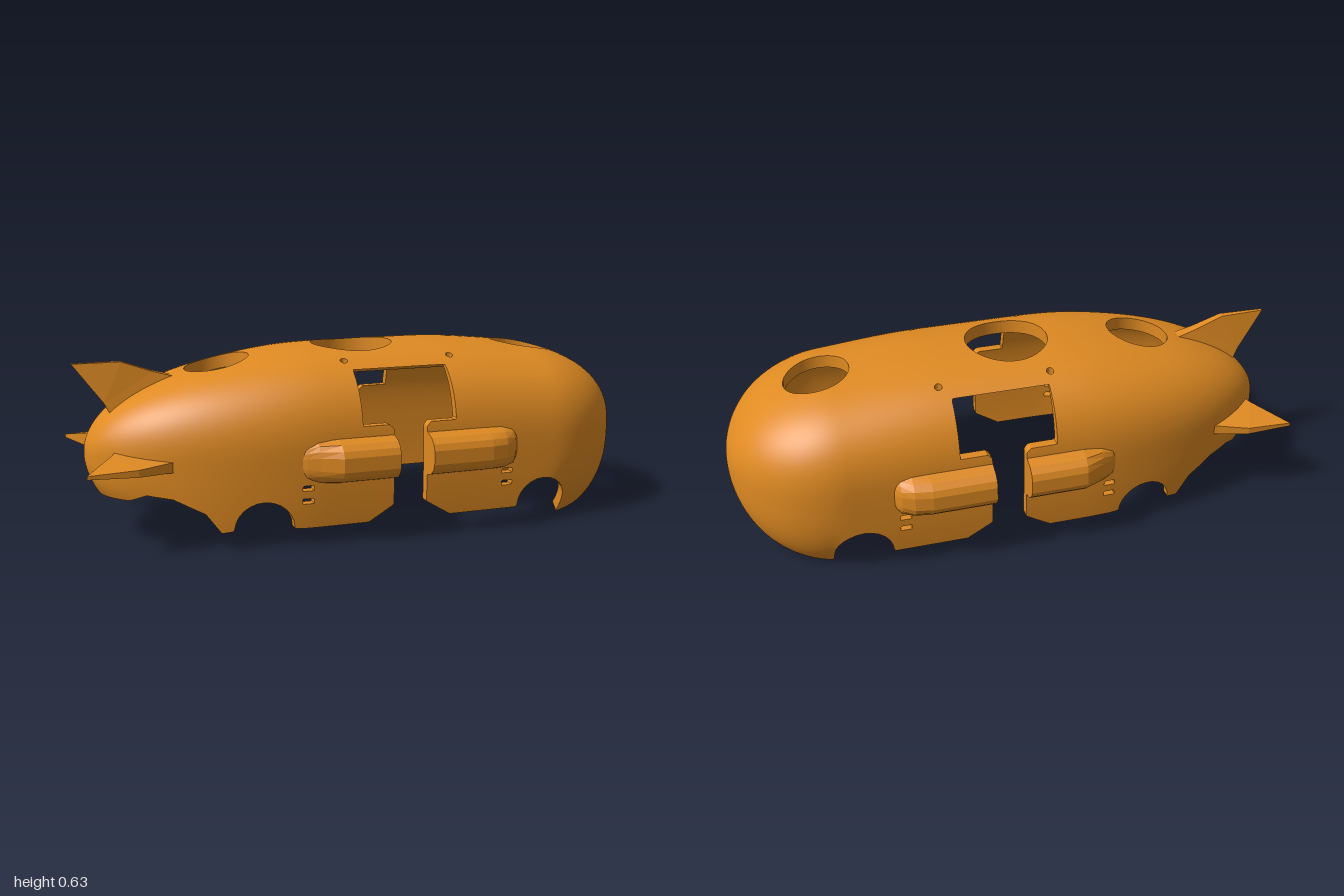
import * as THREE from 'three';

const orange = new THREE.MeshStandardMaterial({ color: 0xdf8a22 });
orange.name = 'orange';

const AXIS = 0.29; // height of the hull axis
const { abs, sin, cos, sqrt, hypot, max, min, sign, PI } = Math;
const mix = THREE.MathUtils.lerp;
const step = THREE.MathUtils.smoothstep;

// Hull cross-section: rounded superellipse, straight-sided low in the middle
function hullPoint(x, a) {
  const e = x > 0.63 ? (x - 0.63) / 0.37 : x < -0.2 ? (x + 0.2) / 0.77 : 0;
  const s = sqrt(max(0, 1 - e * e));
  const up = mix(mix(0.325, 0.343, step(x, -0.55, -0.1)), 0.3, step(x, 0.25, 0.85));
  const down = mix(mix(0.4, 0.7, step(x, -0.85, -0.55)), 0.375, step(x, 0.55, 0.69));
  const round = (v) => sign(v) * abs(v) ** (2 / 2.6);
  const cy = cos(a);
  return [x, AXIS + round(cy) * s * (cy > 0 ? up : down), round(sin(a)) * s * 0.37, s];
}

// Inner skin: walls move sideways, the roof moves down, the ends shrink all round
function innerPoint([x, y, z, s]) {
  const r = max(0.01, s * 0.37);
  const wall = max(0.5, 1 - 0.035 / r), roof = max(0.5, 1 - 0.055 / r);
  const side = step(abs(z), 0.2 * s, 0.265 * s);
  const low = y < AXIS;
  const ends = max(step(x, -0.75, -0.65) * -1 + 1, step(x, 0.8, 0.9), low ? step(x, 0.62, 0.7) : 0);
  return [
    x - 0.03 * step(x, 0.78, 1) + 0.03 * (1 - step(x, -0.95, -0.65)),
    AXIS + (y - AXIS) * mix(1, low ? wall : roof, max(1 - side, ends)),
    z * mix(1, wall, max(side, ends)),
  ];
}

// Signed distance to a polygon, positive inside
function polygonDistance(px, py, pts) {
  let d = Infinity, inside = false;
  for (let i = 0, j = pts.length - 1; i < pts.length; j = i++) {
    const [ax, ay] = pts[i], [bx, by] = pts[j];
    const ex = bx - ax, ey = by - ay;
    const t = min(1, max(0, ((px - ax) * ex + (py - ay) * ey) / (ex * ex + ey * ey)));
    d = min(d, hypot(px - ax - t * ex, py - ay - t * ey));
    if ((ay > py) !== (by > py) && px < ax + (ex * (py - ay)) / ey) inside = !inside;
  }
  return inside ? d : -d;
}

const wheelArch = (cx) => Array.from({ length: 13 }, (_, i) => {
  const a = PI * (1 - i / 12);
  return [cx + 0.1 * cos(a), 0.068 + 0.097 * sin(a)];
});

// Side outline: tail, wheel arches, door gap with window, nose
const sideOutline = [
  [-1.2, 0.16], [-0.85, 0.165], [-0.8, 0.19], [-0.72, 0.18], [-0.62, 0.13], [-0.57, 0.062],
  ...wheelArch(-0.43), [-0.3, 0.065], [-0.07, 0.065], [0.02, 0.12],
  [0.02, 0.385], [0.005, 0.4], [-0.09, 0.4], [-0.09, 0.575],
  [0.25, 0.575], [0.25, 0.4], [0.155, 0.4], [0.14, 0.385],
  [0.14, 0.12], [0.23, 0.065], [0.48, 0.065], ...wheelArch(0.59),
  [0.692, 0.01], [0.7, 0], [1.2, 0], [1.2, 2], [-1.2, 2],
];
// Nose outline seen end-on: arched lower edge with a square notch
const noseHalf = [[1, -0.02], [0.28, 0], [0.25, 0.025], [0.2, 0.06], [0.15, 0.08], [0.09, 0.092], [0.09, 0.175]];
const noseOutline = [...noseHalf, ...noseHalf.map(([z, y]) => [-z, y]).reverse(), [-1, 2], [1, 2]];

// Round holes in the roof [x, z, radius] and small slots in the sides [x, y]
const roofHoles = [[-0.505, 0, 0.112], [-0.01, 0, 0.146], [0.665, 0, 0.114]];
for (const x of [-0.107, 0.285]) for (const z of [-0.21, 0.21]) roofHoles.push([x, z, 0.013]);
const slots = [];
for (const x of [-0.285, 0.445]) for (const y of [0.205, 0.16]) slots.push([x, y]);

// Positive where hull material remains
function keep([x, y, z]) {
  let d = polygonDistance(x, y, sideOutline);
  d = min(d, max(polygonDistance(z, y, noseOutline), 0.64 - x));
  for (const [hx, hz, r] of roofHoles) d = min(d, max(hypot(x - hx, z - hz) - r, 0.4 - y));
  for (const [sx, sy] of slots) d = min(d, max(abs(x - sx) - 0.02, abs(y - sy) - 0.009));
  return d;
}

// Thick shell: outer skin, inner skin and rims around every opening
function hullGeometry() {
  const NX = 120, NA = 96, grid = [], index = [];
  for (let i = 0; i <= NX; i++) for (let j = 0; j <= NA; j++) {
    grid.push(hullPoint(0.015 - 0.985 * cos((PI * i) / NX), -PI + (2 * PI * j) / NA));
    if (i < NX && j < NA) {
      const a = i * (NA + 1) + j, c = a + NA + 1;
      index.push(a, a + 1, c, a + 1, c + 1, c);
    }
  }
  const normalsOf = (points) => {
    const g = new THREE.BufferGeometry();
    g.setAttribute('position', new THREE.Float32BufferAttribute(points.flatMap((p) => p.slice(0, 3)), 3));
    g.setIndex(index);
    g.computeVertexNormals();
    return g.attributes.normal;
  };
  const inside = grid.map(innerPoint);
  const no = normalsOf(grid), ni = normalsOf(inside);
  // Each vertex holds outer position, inner position, outer normal, inner normal
  const verts = grid.map((p, i) => [p[0], p[1], p[2], ...inside[i],
    no.getX(i), no.getY(i), no.getZ(i), -ni.getX(i), -ni.getY(i), -ni.getZ(i)]);

  const pos = [], nor = [];
  const blend = (a, b, t) => a.map((v, i) => v + (b[i] - v) * t);
  const outer = (v) => { pos.push(v[0], v[1], v[2]); nor.push(v[6], v[7], v[8]); };
  const inner = (v) => { pos.push(v[3], v[4], v[5]); nor.push(v[9], v[10], v[11]); };
  const vec = (v, o) => new THREE.Vector3(v[o], v[o + 1], v[o + 2]);
  function rim(p, q) {
    const P = vec(p, 0), Q = vec(q, 0), Pi = vec(p, 3), Qi = vec(q, 3);
    const m = P.clone().sub(Q).cross(Pi.clone().sub(Q)).normalize();
    for (const v of [Q, P, Pi, Q, Pi, Qi]) { pos.push(v.x, v.y, v.z); nor.push(m.x, m.y, m.z); }
  }
  function addTriangle(tri) {
    const f = tri.map(keep);
    const edge = max(...tri.map((p, i) => {
      const q = tri[(i + 1) % 3];
      return hypot(p[0] - q[0], p[1] - q[1], p[2] - q[2]);
    }));
    // Refine near openings
    if (edge > 0.012 && min(...f.map(abs)) < edge) {
      const [a, b, c] = tri, ab = blend(a, b, 0.5), bc = blend(b, c, 0.5), ca = blend(c, a, 0.5);
      [[a, ab, ca], [ab, b, bc], [ca, bc, c], [ab, bc, ca]].forEach(addTriangle);
      return;
    }
    const poly = [];
    let exit, enter;
    for (let i = 0; i < 3; i++) {
      const j = (i + 1) % 3;
      if (f[i] > 0) poly.push(tri[i]);
      if ((f[i] > 0) !== (f[j] > 0)) {
        const p = blend(tri[i], tri[j], f[i] / (f[i] - f[j]));
        poly.push(p);
        if (f[i] > 0) exit = p; else enter = p;
      }
    }
    for (let i = 2; i < poly.length; i++) {
      [poly[0], poly[i - 1], poly[i]].forEach(outer);
      [poly[0], poly[i], poly[i - 1]].forEach(inner);
    }
    if (exit && enter) rim(exit, enter);
  }
  for (let i = 0; i < index.length; i += 3) addTriangle([0, 1, 2].map((k) => verts[index[i + k]]));

  const g = new THREE.BufferGeometry();
  g.setAttribute('position', new THREE.Float32BufferAttribute(pos, 3));
  g.setAttribute('normal', new THREE.Float32BufferAttribute(nor, 3));
  return g;
}

// Side pod lofted along x; stations are [x, bulge, height scale]
function podGeometry(stations, side) {
  const profile = [[0.345, 0.362], [0.37, 0.365], [0.405, 0.352], [0.425, 0.334], [0.434, 0.312],
    [0.434, 0.264], [0.425, 0.244], [0.405, 0.226], [0.37, 0.215], [0.345, 0.215]];
  const rings = stations.map(([x, b, h]) => profile.map(([z, y]) =>
    [x, AXIS + (y - AXIS) * h, side * (z > 0.36 ? mix(0.355, z, b) : z)]));
  const pos = [], n = profile.length;
  const tri = (a, b, c) => pos.push(...a, ...(side > 0 ? [...b, ...c] : [...c, ...b]));
  for (let i = 0; i + 1 < rings.length; i++) for (let j = 0; j < n; j++) {
    const k = (j + 1) % n, p = rings[i], q = rings[i + 1];
    tri(p[j], p[k], q[j]);
    tri(p[k], q[k], q[j]);
  }
  const first = rings[0], last = rings[rings.length - 1];
  for (let j = 2; j < n; j++) {
    tri(first[0], first[j], first[j - 1]);
    tri(last[0], last[j - 1], last[j]);
  }
  const g = new THREE.BufferGeometry();
  g.setAttribute('position', new THREE.Float32BufferAttribute(pos, 3));
  g.computeVertexNormals();
  return g;
}

// Swept tail fin, thin at the trailing edge and flared at the root
function finGeometry() {
  const shape = new THREE.Shape([[-1, 0.315], [-0.835, 0.315], [-0.73, 0.277], [-0.65, 0.255],
    [-0.73, 0.205], [-0.86, 0.13], [-0.885, 0.15], [-0.9, 0.18]].map(([x, y]) => new THREE.Vector2(x, y)));
  const g = new THREE.ExtrudeGeometry(shape, { depth: 2, bevelEnabled: false });
  const p = g.attributes.position;
  for (let i = 0; i < p.count; i++) {
    const half = mix(0.045, 0.012, step(p.getY(i), 0.14, 0.32)) * mix(0.5, 1, step(p.getX(i), -1, -0.84));
    p.setZ(i, (p.getZ(i) - 1) * half);
  }
  g.computeVertexNormals();
  return g;
}

export function createModel() {
  const model = new THREE.Group();
  model.name = 'finnedBodyShell';
  const add = (name, geometry) => {
    const mesh = new THREE.Mesh(geometry, orange);
    mesh.name = name;
    model.add(mesh);
    return mesh;
  };
  add('hull', hullGeometry());

  const rearPod = [[-0.315, 0.05, 0.35], [-0.29, 0.25, 0.75], [-0.25, 0.5, 0.93], [-0.18, 1, 1], [0.02, 1, 1]];
  const frontPod = [[0.14, 1, 1], [0.36, 1, 1], [0.42, 0.85, 0.98], [0.46, 0.55, 0.85], [0.48, 0.2, 0.6], [0.485, 0.05, 0.35]];
  for (const [label, side] of [['front', 1], ['back', -1]]) {
    add(label + 'SideRightPod', podGeometry(rearPod, side));
    add(label + 'SideLeftPod', podGeometry(frontPod, side));
  }

  // Three fins around the tail
  [['topFin', 0], ['frontSideFin', PI / 2], ['backSideFin', -PI / 2]].forEach(([name, angle]) => {
    const fin = add(name, finGeometry());
    fin.position.y = AXIS;
    fin.rotation.x = angle;
  });
  return model;
}
